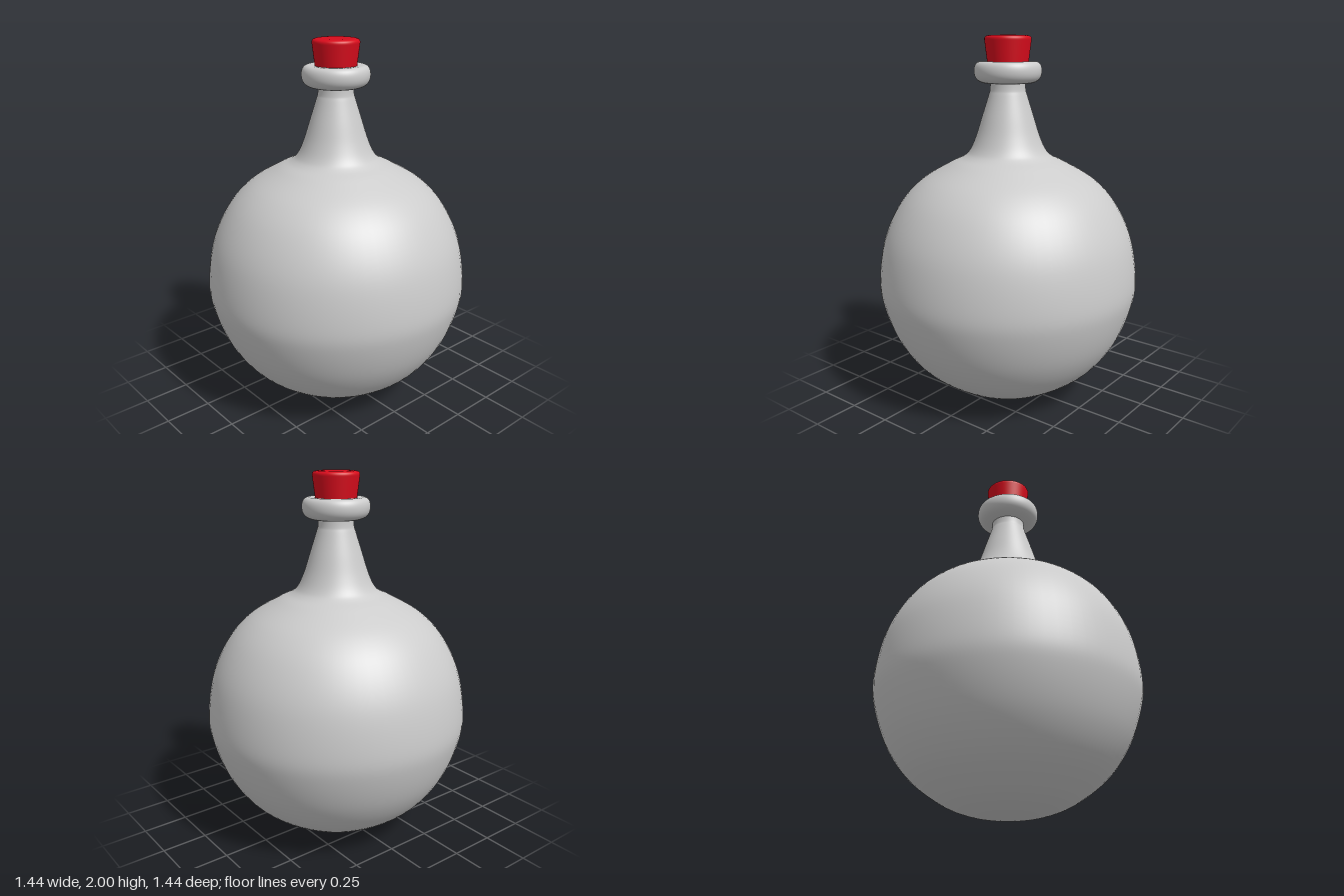
import * as THREE from 'three';

const SEGMENTS = 64;

// Smooth curve through [radius, height] pairs
function smoothProfile(pairs, divisions) {
  const curve = new THREE.SplineCurve(pairs.map(([r, y]) => new THREE.Vector2(r, y)));
  const points = curve.getPoints(divisions);
  points.forEach((p) => { p.x = Math.max(p.x, 0); p.y = Math.max(p.y, 0); });
  return points;
}

function turned(name, points, material) {
  const mesh = new THREE.Mesh(new THREE.LatheGeometry(points, SEGMENTS), material);
  mesh.name = name;
  return mesh;
}

export function createModel() {
  const model = new THREE.Group();
  model.name = 'flask';
  const glass = new THREE.MeshStandardMaterial({ color: 0xcccccc, side: THREE.DoubleSide });
  const red = new THREE.MeshStandardMaterial({ color: 0xd80c1c });

  // Round belly flowing into the tapered neck
  model.add(turned('body', smoothProfile([
    [0, 0], [0.12, 0.006], [0.23, 0.025], [0.36, 0.08], [0.52, 0.2], [0.635, 0.36],
    [0.705, 0.55], [0.72, 0.7], [0.682, 0.92], [0.595, 1.1], [0.48, 1.225],
    [0.325, 1.318], [0.245, 1.357], [0.207, 1.395], [0.173, 1.47],
    [0.138, 1.58], [0.105, 1.685], [0.096, 1.72], [0.094, 1.79],
  ], 110), glass));

  // Rounded rim around the mouth
  const rim = new THREE.Shape();
  rim.moveTo(0.085, 1.75);
  rim.lineTo(0.12, 1.75);
  rim.bezierCurveTo(0.162, 1.753, 0.182, 1.78, 0.182, 1.815);
  rim.bezierCurveTo(0.182, 1.846, 0.168, 1.865, 0.145, 1.865);
  rim.lineTo(0.12, 1.864);
  rim.quadraticCurveTo(0.095, 1.86, 0.085, 1.84);
  model.add(turned('rim', rim.getPoints(12), glass));

  // Tapered stopper with a softened top edge
  const stopper = new THREE.Shape();
  stopper.moveTo(0, 1.8);
  stopper.lineTo(0.103, 1.8);
  stopper.lineTo(0.111, 1.865);
  stopper.lineTo(0.125, 1.975);
  stopper.bezierCurveTo(0.127, 1.992, 0.118, 1.997, 0.1, 1.999);
  stopper.lineTo(0.08, 2);
  stopper.lineTo(0, 2);
  model.add(turned('stopper', stopper.getPoints(8), red));

  return model;
}
